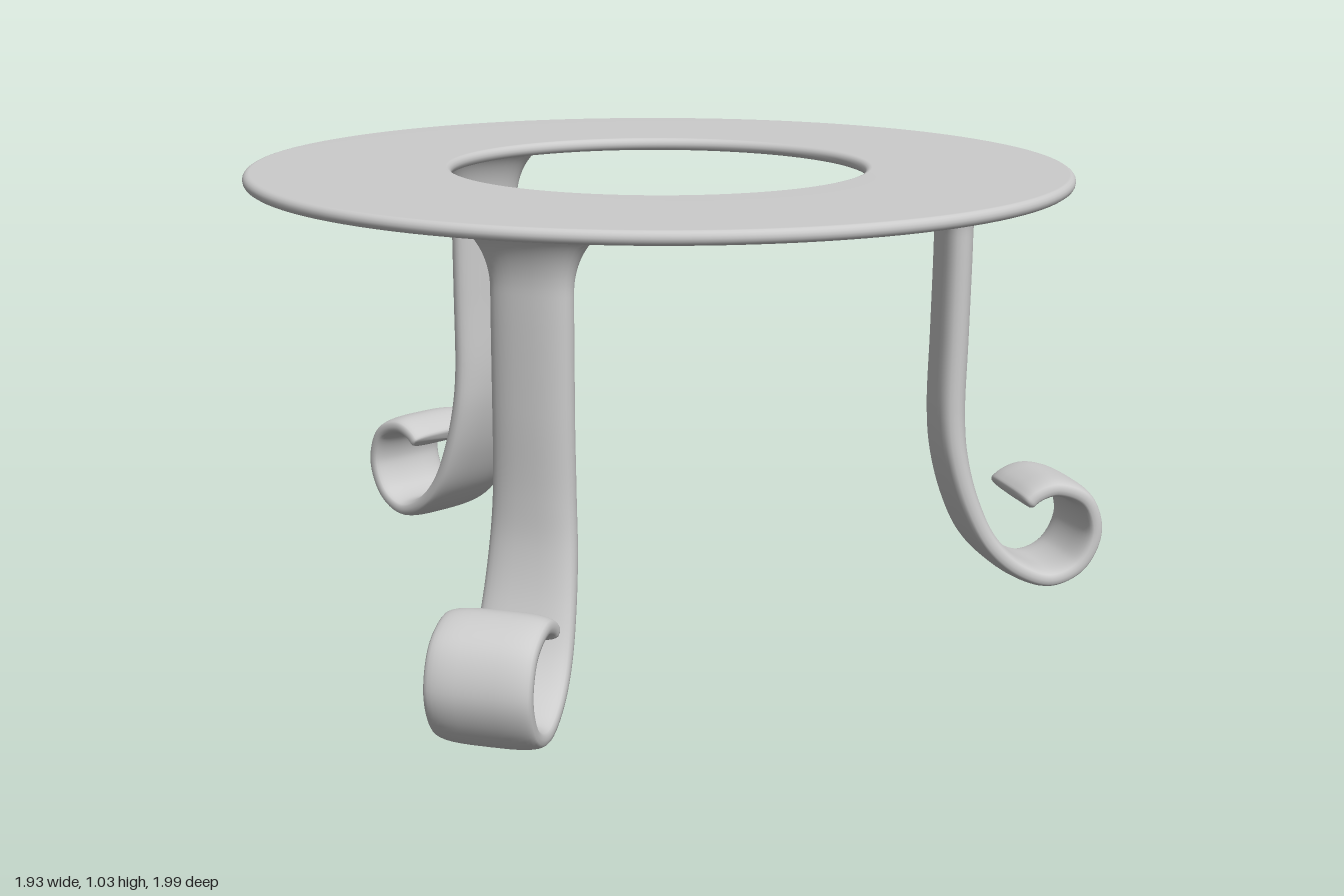
import * as THREE from 'three';

const material = new THREE.MeshStandardMaterial({ color: 0xcccccc, side: THREE.DoubleSide });
const smooth = THREE.MathUtils.smoothstep;

// Flat ring with rounded rims
function makeRing() {
  const inner = 0.465, outer = 0.925, mid = 1.02, r = 0.015, profile = [];
  for (let i = 0; i <= 8; i++) {
    const a = -Math.PI / 2 + (i / 8) * Math.PI;
    profile.push(new THREE.Vector2(outer - r + r * Math.cos(a), mid + r * Math.sin(a)));
  }
  for (let i = 0; i <= 8; i++) {
    const a = Math.PI / 2 + (i / 8) * Math.PI;
    profile.push(new THREE.Vector2(inner + r + r * Math.cos(a), mid + r * Math.sin(a)));
  }
  profile.push(profile[0].clone());
  const ring = new THREE.Mesh(new THREE.LatheGeometry(profile, 128), material);
  ring.name = 'topRing';
  return ring;
}

// Leg centre line as [distance from the axis, height], from the ring down into the scroll
const path = new THREE.CatmullRomCurve3([
  [0.69, 1.012], [0.69, 0.96], [0.69, 0.9], [0.69, 0.8], [0.688, 0.62], [0.686, 0.44],
  [0.696, 0.34], [0.728, 0.225], [0.778, 0.125], [0.847, 0.06], [0.93, 0.03], [1.003, 0.06],
  [1.04, 0.14], [1.012, 0.22], [0.935, 0.253], [0.885, 0.24], [0.858, 0.218],
].map(([r, y]) => new THREE.Vector3(r, y, 0)));

// Lofted band: flared at the top, slightly turned in the stem, wide and thin in the scroll
function makeLegGeometry() {
  const steps = 128, sides = 32, positions = [], index = [];
  for (let j = 0; j <= steps; j++) {
    const u = j / steps;
    const p = path.getPoint(u), tan = path.getTangent(u);
    const foot = smooth(u, 0.25, 0.6);
    const q = u < 0.25 ? THREE.MathUtils.clamp((p.y - 0.87) / 0.138, 0, 1) : 0;
    const flare = 1 - Math.sqrt(1 - q * q);
    const e = Math.max(0, (u - 0.975) / 0.025);
    const tip = Math.sqrt(Math.max(0, 1 - e * e));
    const halfWidth = (0.091 + 0.019 * foot + 0.11 * flare) * (0.85 + 0.15 * tip) * (tip > 0 ? 1 : 0);
    const halfDepth = (0.04 - 0.016 * foot + 0.08 * flare) * tip;
    const yaw = -0.18 * (1 - foot), power = 2 / (2.3 + 0.9 * foot);
    for (let i = 0; i < sides; i++) {
      const a = (i / sides) * Math.PI * 2, c = Math.cos(a), s = Math.sin(a);
      const w = halfWidth * Math.sign(c) * Math.abs(c) ** power;
      const d = halfDepth * Math.sign(s) * Math.abs(s) ** power;
      const across = w * Math.cos(yaw) - d * Math.sin(yaw);
      const out = w * Math.sin(yaw) + d * Math.cos(yaw);
      positions.push(0.073 + across, p.y + tan.x * out, -(p.x - tan.y * out));
      if (j < steps) {
        const n = (i + 1) % sides, k = j * sides;
        index.push(k + i, k + sides + i, k + n, k + n, k + sides + i, k + sides + n);
      }
    }
  }
  const geometry = new THREE.BufferGeometry();
  geometry.setAttribute('position', new THREE.Float32BufferAttribute(positions, 3));
  geometry.setIndex(index);
  geometry.computeVertexNormals();
  return geometry;
}

export function createModel() {
  const model = new THREE.Group();
  model.name = 'tripodStand';
  const stand = new THREE.Group();
  stand.name = 'stand';
  stand.position.set(0.035, 0, 0.07);
  stand.add(makeRing());

  // Three scrolled legs evenly spaced around the ring
  const legGeometry = makeLegGeometry();
  ['backLeg', 'frontRightLeg', 'frontLeftLeg'].forEach((name, i) => {
    const leg = new THREE.Mesh(legGeometry, material);
    leg.name = name;
    leg.rotation.y = (i * Math.PI * 2) / 3;
    stand.add(leg);
  });
  model.add(stand);
  return model;
}
